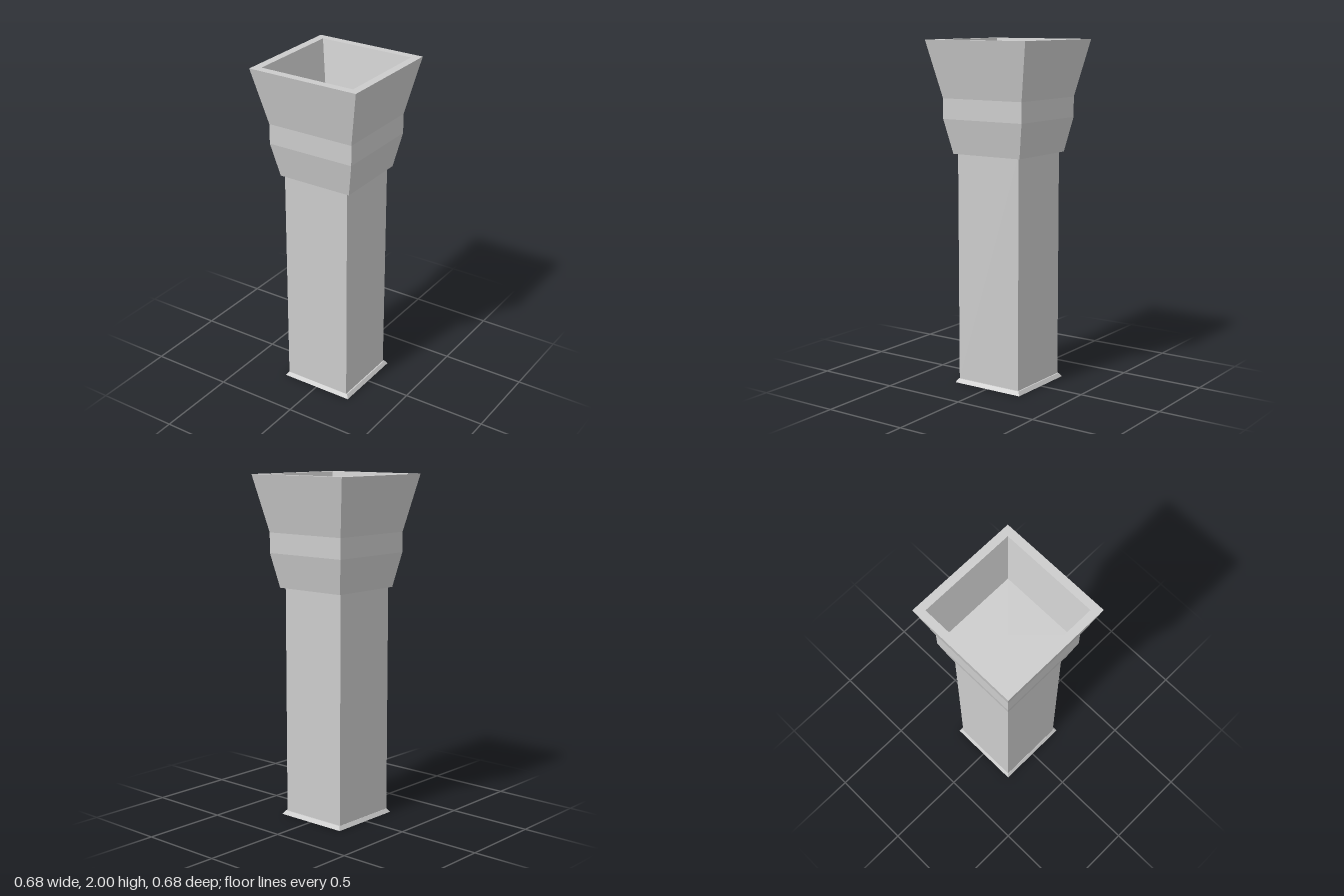
import * as THREE from 'three';

const material = new THREE.MeshStandardMaterial({ color: 0xcccccc, flatShading: true });

// Square solid from a profile of [half width, height], listed from the bottom axis outward and up
function squareLathe(name, profile) {
  const points = profile.map(([half, y]) => new THREE.Vector2(half * Math.SQRT2, y));
  const geometry = new THREE.LatheGeometry(points, 4, Math.PI / 4).toNonIndexed();
  geometry.computeVertexNormals();
  const mesh = new THREE.Mesh(geometry, material);
  mesh.name = name;
  return mesh;
}

export function createModel() {
  const group = new THREE.Group();
  group.name = 'squarePillar';

  // Thin flared foot
  const foot = squareLathe('foot', [[0, 0], [0.227, 0], [0.213, 0.022], [0, 0.022]]);

  // Plain square shaft, a hair off centre
  const shaft = new THREE.Mesh(new THREE.BoxGeometry(0.417, 1.35, 0.417), material);
  shaft.name = 'shaft';
  shaft.position.set(-0.003, 0.69, 0.003);

  // Flared head with a straight band and a tapered hollow
  const head = squareLathe('hollowHead', [
    [0, 1.355], [0.228, 1.355], [0.268, 1.555], [0.268, 1.672], [0.338, 2],
    [0.291, 2], [0.231, 1.67], [0, 1.67],
  ]);

  group.add(foot, shaft, head);
  return group;
}
